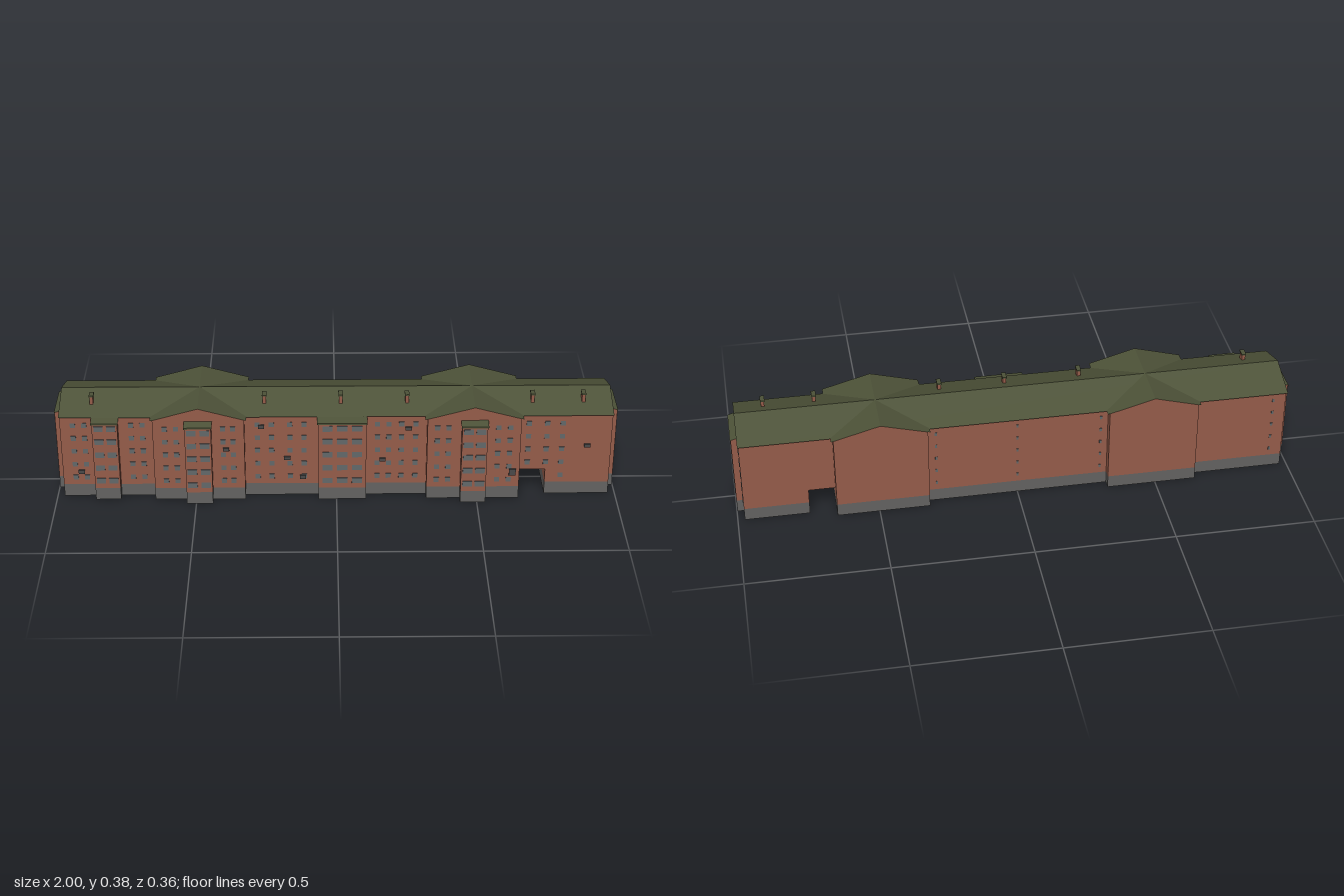
import * as THREE from 'three';
import { mergeGeometries } from 'three/addons/utils/BufferGeometryUtils.js';

const mat = (name, color, side = THREE.FrontSide) => {
  const m = new THREE.MeshStandardMaterial({ color, side });
  m.name = name;
  return m;
};

// Flat convex polygons, fanned from their first corner and joined into one geometry
function polys(list) {
  const pos = [];
  for (const p of list)
    for (let i = 1; i < p.length - 1; i++) pos.push(...p[0], ...p[i], ...p[i + 1]);
  const g = new THREE.BufferGeometry();
  g.setAttribute('position', new THREE.Float32BufferAttribute(pos, 3));
  g.computeVertexNormals();
  return g;
}

function box(w, h, d, x, y, z) {
  return new THREE.BoxGeometry(w, h, d).translate(x, y, z);
}

export function createModel() {
  const brick = mat('brick', 0x965c4a, THREE.DoubleSide);
  const plinth = mat('plinth grey', 0x646361, THREE.DoubleSide);
  const roofing = mat('roof green', 0x4d5238, THREE.DoubleSide);
  const glass = mat('window grey', 0x62686a);
  const metal = mat('unit grey', 0x4a4a4a);

  const group = new THREE.Group();
  const add = (name, geometry, material) => {
    const m = new THREE.Mesh(geometry, material);
    m.name = name;
    group.add(m);
  };

  const BASE = 0.047, EAVE = 0.322, RIDGE = 0.367, MID = -0.017;
  const FRONT = 0.117, BACK = -0.147, END = 0.975, ARCH = 0.1;
  const WF = 0.147, WB = -0.178;
  const bricks = [], bases = [], roofs = [];

  // Vertical wall between two plan points, with a grey plinth below
  function wall(x0, z0, x1, z1, top = EAVE, top1 = top, bottom = 0) {
    const strip = (a, b0, b1) => [[x0, a, z0], [x1, a, z1], [x1, b1, z1], [x0, b0, z0]];
    if (bottom < BASE) bases.push(strip(bottom, BASE, BASE));
    bricks.push(strip(Math.max(bottom, BASE), top, top1));
  }

  // Long block: front and back runs between the cross wings
  const arch = [0.65, 0.745];
  for (const [a, b] of [[-END, -0.647], [-0.325, 0.32], [arch[1], END]]) {
    wall(a, FRONT, b, FRONT);
    wall(b, BACK, a, BACK);
  }
  wall(arch[0], FRONT, arch[1], FRONT, EAVE, EAVE, ARCH);
  wall(arch[1], BACK, arch[0], BACK, EAVE, EAVE, ARCH);

  // Passage side and ceiling
  wall(arch[1], BACK, arch[1], FRONT, ARCH);
  bricks.push([[arch[0], ARCH, BACK], [arch[1], ARCH, BACK], [arch[1], ARCH, FRONT], [arch[0], ARCH, FRONT]]);

  // Gabled end walls
  for (const s of [-1, 1]) {
    const [a, b] = s > 0 ? [FRONT, BACK] : [BACK, FRONT];
    wall(s * END, a, s * END, b);
    bricks.push([[s * END, EAVE, a], [s * END, EAVE, b], [s * END, RIDGE, MID]]);
  }

  // Main roof
  const L = END + 0.003;
  roofs.push(
    [[-L, EAVE - 0.002, 0.123], [L, EAVE - 0.002, 0.123], [L, RIDGE + 0.001, MID], [-L, RIDGE + 0.001, MID]],
    [[L, EAVE - 0.002, -0.16], [-L, EAVE - 0.002, -0.16], [-L, RIDGE + 0.001, MID], [L, RIDGE + 0.001, MID]]);

  // Two cross wings with their own gables and roofs
  for (const [x0, x1] of [[-0.647, -0.325], [0.32, 0.65]]) {
    const c = (x0 + x1) / 2;
    wall(x0, WF, x1, WF);
    wall(x1, WB, x0, WB);
    wall(x1, WF, x1, WB);
    wall(x0, WB, x0, WF);
    bricks.push([[x0, EAVE, WF], [x1, EAVE, WF], [c, RIDGE, WF]],
      [[x1, EAVE, WB], [x0, EAVE, WB], [c, RIDGE, WB]]);
    const zf = 0.15, zb = -0.181, y = EAVE - 0.001, t = RIDGE + 0.001;
    roofs.push([[x1 + 0.008, y, zf], [x1 + 0.008, y, zb], [c, t, zb], [c, t, zf]],
      [[x0 - 0.008, y, zb], [x0 - 0.008, y, zf], [c, t, zf], [c, t, zb]]);
  }

  // Projecting bay: p maps (along, out) to plan, with a lean-to roof
  function bay(a, b, inner, outer, p) {
    const hi = 0.315, lo = 0.309, e = 0.003;
    wall(...p(a, outer), ...p(b, outer), lo);
    wall(...p(a, inner), ...p(a, outer), hi, lo);
    wall(...p(b, outer), ...p(b, inner), lo, hi);
    const at = (u, v, y) => { const [x, z] = p(u, v); return [x, y, z]; };
    const o = outer + 0.002;
    roofs.push(
      [at(a - e, o, lo), at(b + e, o, lo), at(b + e, inner, hi + 0.002), at(a - e, inner, hi + 0.002)],
      [at(a - e, o, lo - 0.006), at(b + e, o, lo - 0.006), at(b + e, o, lo), at(a - e, o, lo)]);
  }
  const frontBays = [[-0.86, -0.77, FRONT, 0.145], [-0.533, -0.44, WF, 0.178],
    [-0.065, 0.105, FRONT, 0.15], [0.44, 0.53, WF, 0.178]];
  for (const [a, b, i, o] of frontBays) bay(a, b, i, o, (u, v) => [u, v]);
  bay(-0.06, 0.093, END, 0.998, (u, v) => [v, -u]);
  bay(-0.093, 0.06, END, 0.998, (u, v) => [-v, u]);

  add('brickWalls', polys(bricks), brick);
  add('plinth', polys(bases), plinth);
  add('roofs', polys(roofs), roofing);

  // Windows: thin panes on five floors
  const floors = [0.077, 0.13, 0.183, 0.235, 0.287];
  const panes = [];
  const frontRow = (xs, z, w, h) => {
    for (const x of xs) for (const y of floors) {
      if (x > arch[0] && x < arch[1] + 0.02 && y < 0.12) continue;
      panes.push(box(w, h, 0.004, x, y, z));
    }
  };
  frontRow([-0.93, -0.89, -0.725, -0.685, -0.28, -0.23, -0.165, -0.115, 0.145, 0.185, 0.23, 0.28,
    0.68, 0.745, 0.8], FRONT, 0.018, 0.018);
  frontRow([-0.605, -0.565, -0.4, -0.365, 0.355, 0.395, 0.57, 0.612], WF, 0.018, 0.018);
  frontRow([-0.837, -0.793], 0.145, 0.032, 0.021);
  frontRow([-0.51, -0.463, 0.463, 0.507], 0.178, 0.034, 0.021);
  frontRow([-0.032, 0.02, 0.072], 0.15, 0.036, 0.021);
  frontRow([-0.93, -0.3, 0, 0.29], BACK, 0.008, 0.012);
  for (const s of [-1, 1]) for (const y of floors) {
    for (const z of [0.023, -0.054]) panes.push(box(0.004, 0.024, 0.06, s * 0.998, y + 0.002, z));
    for (const z of [0.091, -0.125]) panes.push(box(0.004, 0.022, 0.024, s * END, y, z));
  }
  add('windows', mergeGeometries(panes), glass);

  // Chimneys with caps
  const stacks = [], caps = [];
  for (const x of [-0.865, -0.255, 0.015, 0.25, 0.695, 0.875]) {
    stacks.push(box(0.012, 0.045, 0.028, x, 0.348, 0.048));
    caps.push(box(0.016, 0.005, 0.033, x, 0.373, 0.048));
  }
  add('chimneys', mergeGeometries(stacks), brick);
  add('chimneyCaps', mergeGeometries(caps), roofing);

  // Small wall units on the front
  const units = [[-0.908, 0.1], [-0.266, 0.28], [-0.175, 0.153], [-0.12, 0.075], [0.164, 0.145],
    [0.255, 0.27], [0.89, 0.198]].map(([x, y]) => box(0.022, 0.013, 0.008, x, y, FRONT + 0.003));
  units.push(box(0.022, 0.013, 0.008, -0.39, 0.205, WF + 0.002));
  units.push(box(0.024, 0.026, 0.008, 0.625, 0.107, WF + 0.002));
  add('wallUnits', mergeGeometries(units), metal);

  return group;
}
